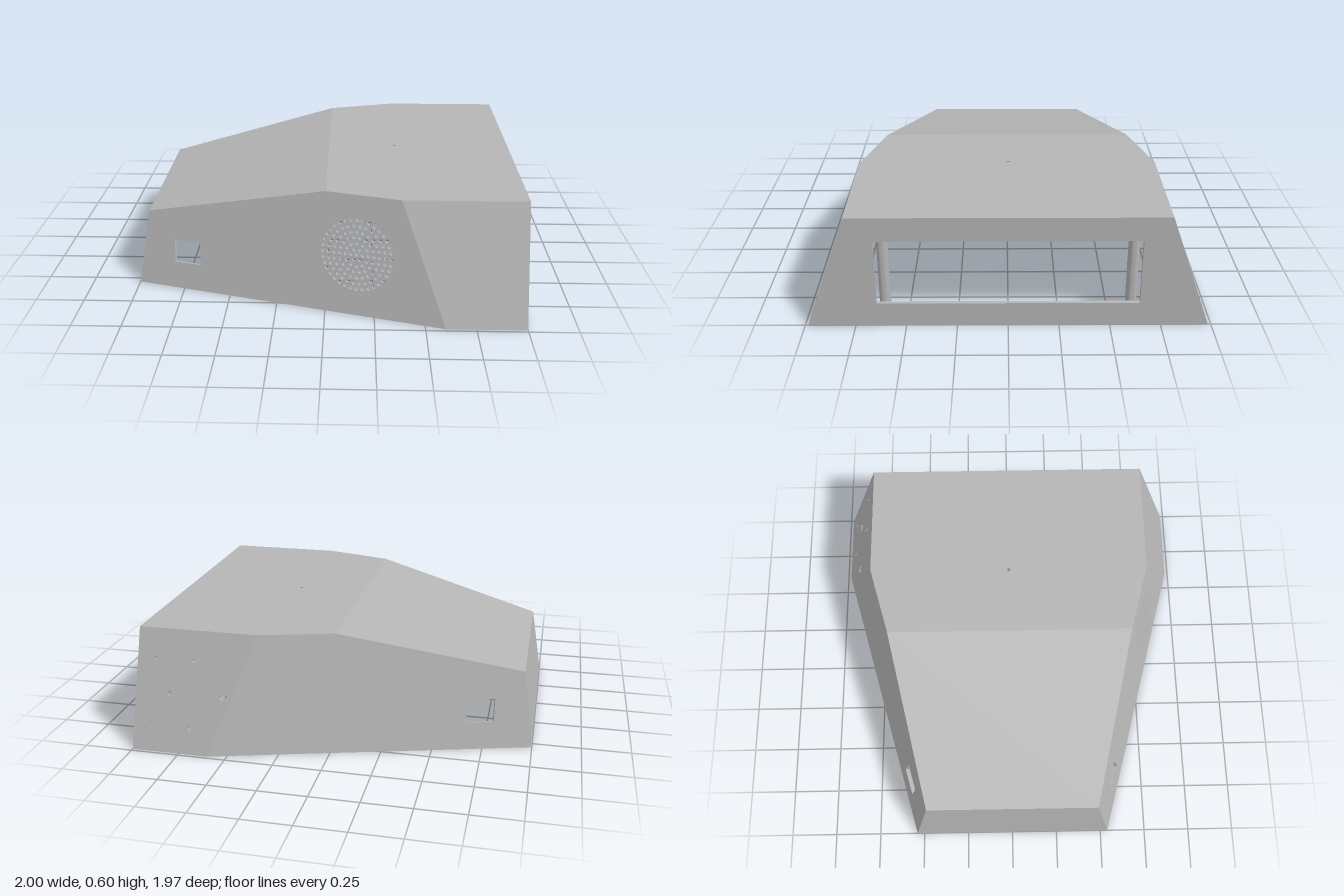
import * as THREE from 'three';
import { toCreasedNormals } from 'three/addons/utils/BufferGeometryUtils.js';

const V = (x, y, z) => new THREE.Vector3(x, y, z);
const T = 0.02; // wall thickness
const TOP = 0.595;

// Sloped side planes: half-width z at a given x, y
const zTaper = (x, y) => 0.818 + 0.278 * x - 0.248 * y;
const zStraight = (x, y) => 0.985 - 0.353 * y;
const zWall = (x, y) => Math.min(zTaper(x, y), zStraight(x, y));
const yCeiling = x => Math.min(TOP, TOP + 0.2234 * x);

// Hole outlines in flat coordinates
const rect = (x0, x1, y0, y1) => [[x0, y0], [x1, y0], [x1, y1], [x0, y1]];
const ellipse = (cx, cy, rx, ry = rx, n = 12) => Array.from({ length: n }, (_, i) => {
  const a = (i / n) * Math.PI * 2;
  return [cx + rx * Math.cos(a), cy + ry * Math.sin(a)];
});
const slot = (cx, cy, half, r) => ellipse(cx, cy, r, r, 16).map(([x, y], i) =>
  [x + (i < 4 || i > 12 ? half - r : r - half), y]);

export function createModel() {
  const grey = new THREE.MeshStandardMaterial({ color: 0xb5b5b5 });
  grey.name = 'grey plastic';
  const model = new THREE.Group();
  model.name = 'enclosure';

  function add(name, geometry, parent = model) {
    const mesh = new THREE.Mesh(geometry, grey);
    mesh.name = name;
    parent.add(mesh);
    return mesh;
  }

  // Flat slab from an outline (counter-clockwise from outside), thickened inward
  function panel(name, points, holes = []) {
    const o = points[0];
    const u = points[1].clone().sub(o).normalize();
    const n = u.clone().cross(points[points.length - 1].clone().sub(o)).normalize();
    const v = n.clone().cross(u);
    const flat = p => {
      const d = p.clone().sub(o);
      return new THREE.Vector2(d.dot(u), d.dot(v));
    };
    const shape = new THREE.Shape(points.map(flat));
    holes.forEach(h => shape.holes.push(new THREE.Path(h.map(flat))));
    const geo = new THREE.ExtrudeGeometry(shape, { depth: T, bevelEnabled: false });
    geo.translate(0, 0, -T);
    geo.applyMatrix4(new THREE.Matrix4().makeBasis(u, v, n).setPosition(o));
    const pos = geo.attributes.position;
    for (let i = 0; i < pos.count; i++) pos.setY(i, Math.max(0, pos.getY(i)));
    geo.computeVertexNormals();
    return add(name, geo);
  }

  // Side walls, mirrored front and back
  const creaseTop = 0.376;
  const portWindow = rect(-0.8, -0.66, 0.135, 0.25);
  const grille = [ellipse(0.16, 0.303, 0.0105, 0.0105, 10)];
  for (let ring = 1; ring <= 6; ring++) {
    for (let i = 0; i < ring * 6; i++) {
      const a = (i / (ring * 6)) * Math.PI * 2;
      const r = ring * 0.0285;
      grille.push(ellipse(0.16 + r * Math.cos(a), 0.303 + r * Math.sin(a), 0.0105, 0.0105, 10));
    }
  }
  const mountHoles = [slot(0.527, 0.285, 0.026, 0.013), slot(0.8, 0.285, 0.026, 0.013)];
  for (const x of [0.7, 0.9]) for (const y of [0.125, 0.45]) mountHoles.push(ellipse(x, y, 0.01));

  for (const s of [1, -1]) {
    const side = s > 0 ? 'front' : 'back';
    const lift = (loop, f) => loop.map(([x, y]) => V(x, y, s * f(x, y)));
    const order = pts => (s > 0 ? pts : pts.reverse());
    const taper = lift([[-1, 0], [0.6, 0], [creaseTop, TOP], [0, TOP], [-0.94, 0.385]], zTaper);
    const straight = lift([[0.6, 0], [1, 0], [1, TOP], [creaseTop, TOP]], zStraight);
    const taperHoles = s > 0 ? [portWindow, ...grille] : [portWindow];
    panel(side + 'TaperedWall', order(taper), taperHoles.map(h => lift(h, zTaper)));
    panel(side + 'StraightWall', order(straight), (s < 0 ? mountHoles : []).map(h => lift(h, zStraight)));
  }

  // End walls
  const za = zTaper(-1, 0), zb = zTaper(-0.94, 0.385), zc = zTaper(0, TOP);
  const zd = zStraight(1, TOP), ze = zStraight(1, 0);
  panel('narrowEndWall', [V(-1, 0, -za), V(-1, 0, za), V(-0.94, 0.385, zb), V(-0.94, 0.385, -zb)]);
  panel('wideEndWall', [V(1, 0, ze), V(1, 0, -ze), V(1, TOP, -zd), V(1, TOP, zd)],
    [rect(-0.643, 0.643, 0.125, 0.47).map(([z, y]) => V(1, y, z))]);

  // Lid: sloped and level parts
  panel('slopedTop', [V(-0.94, 0.385, zb), V(0, TOP, zc), V(0, TOP, -zc), V(-0.94, 0.385, -zb)]);
  panel('levelTop', [V(0, TOP, zc), V(creaseTop, TOP, zd), V(1, TOP, zd),
    V(1, TOP, -zd), V(creaseTop, TOP, -zd), V(0, TOP, -zc)],
    [ellipse(0.365, 0, 0.01).map(([x, z]) => V(x, TOP, z))]);

  // Screw post with a blind hole at its lower end
  function post(name, a, b, r, hole, rTop = r) {
    const len = a.distanceTo(b);
    const profile = [[0, 0.06], [hole, 0.06], [hole, 0], [r, 0], [rTop, len]]
      .map(p => new THREE.Vector2(...p));
    const mesh = add(name, toCreasedNormals(new THREE.LatheGeometry(profile, 20), 0.6));
    mesh.position.copy(a);
    mesh.quaternion.setFromUnitVectors(V(0, 1, 0), b.clone().sub(a).normalize());
  }

  for (const s of [1, -1]) {
    // Leaning posts follow the side walls
    for (const x of [0.59, -0.18, -0.9]) {
      const y1 = yCeiling(x) - 0.03;
      post('wallPost', V(x, 0.02, s * (zWall(x, 0.02) - 0.07)),
        V(x, y1, s * (zWall(x, y1) - 0.07)), 0.045, 0.018);
    }
    post('windowPost', V(0.94, 0.06, s * 0.605), V(0.94, TOP - 0.01, s * 0.605), 0.028, 0.012);

    // Ceiling standoffs
    for (const x of [0.8, 0.17]) {
      post('ceilingStandoff', V(x, 0.5, s * 0.28), V(x, TOP - 0.01, s * 0.28), 0.042, 0.018, 0.06);
    }

    // Rails beside the port windows
    for (const [x, y1] of [[-0.57, 0.42], [-0.86, 0.34]]) {
      const a = V(x, 0.08, s * (zTaper(x, 0.08) - 0.035));
      const b = V(x, y1, s * (zTaper(x, y1) - 0.035));
      const rail = add('portRail', new THREE.BoxGeometry(0.05, a.distanceTo(b), 0.045));
      rail.position.copy(a).lerp(b, 0.5);
      rail.quaternion.setFromUnitVectors(V(0, 1, 0), b.clone().sub(a).normalize());
    }
  }

  // Hanging bracket with a round opening
  const bracket = new THREE.Shape();
  bracket.moveTo(-0.24, 0.465);
  bracket.lineTo(-0.19, 0.425);
  bracket.lineTo(-0.19, 0.2);
  bracket.absarc(0, 0.2, 0.19, Math.PI, Math.PI * 2, false);
  bracket.lineTo(0.19, 0.425);
  bracket.lineTo(0.24, 0.465);
  bracket.holes.push(new THREE.Path().absarc(0, 0.2, 0.14, 0, Math.PI * 2, true));
  const ring = new THREE.Shape().absarc(0, 0.2, 0.165, 0, Math.PI * 2, false);
  ring.holes.push(new THREE.Path().absarc(0, 0.2, 0.14, 0, Math.PI * 2, true));
  for (const [name, shape, x, depth] of [['bracketPlate', bracket, -0.55, 0.07], ['bracketRing', ring, -0.48, 0.06]]) {
    const geo = new THREE.ExtrudeGeometry(shape, { depth, bevelEnabled: false, curveSegments: 32 });
    geo.rotateY(Math.PI / 2).translate(x, 0, 0);
    add(name, toCreasedNormals(geo, 0.6));
  }

  // Sloped fillet between lid and narrow end
  const fillet = new THREE.Shape([[-0.75, 0.41], [-0.93, 0.375], [-0.945, 0.29]].map(p => new THREE.Vector2(...p)));
  const filletGeo = new THREE.ExtrudeGeometry(fillet, { depth: 0.88, bevelEnabled: false });
  add('endFillet', filletGeo.translate(0, 0, -0.44));

  return model;
}
